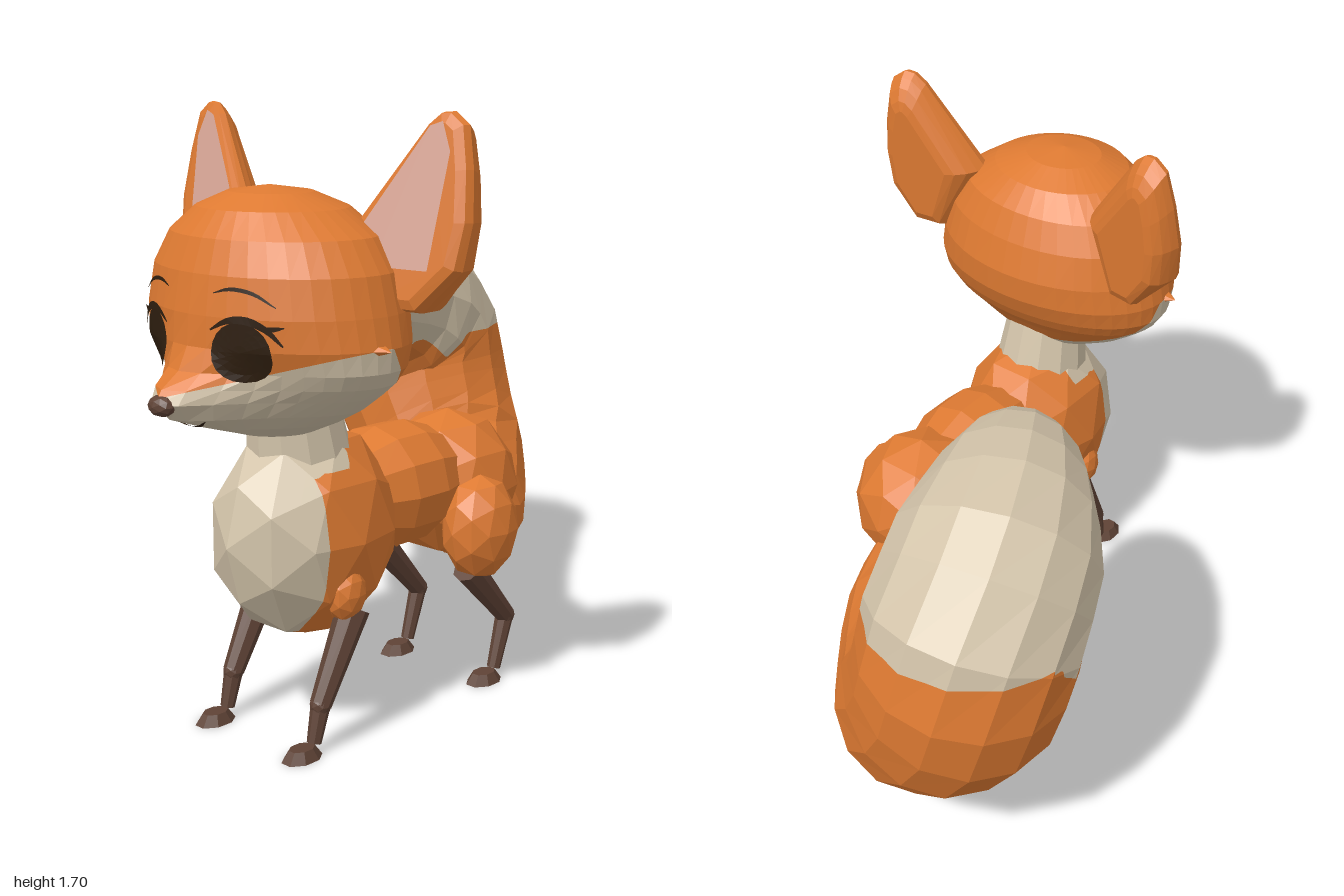
import * as THREE from 'three';

const mat = (name, color, extra = {}) => new THREE.MeshStandardMaterial({ name, color, flatShading: true, ...extra });
const orange = mat('orange fur', 0xde7a32);
const cream = mat('cream fur', 0xd3c4aa);
const pink = mat('pink inner ear', 0xdba898, { side: THREE.DoubleSide });
const brown = mat('brown leg', 0x5f4336);
const dark = mat('dark eye', 0x2e1e0f, { side: THREE.DoubleSide });

const CX = 0.215; // the body's midline
const V = (x, y, z) => new THREE.Vector3(x, y, z);

function add(parent, name, geo, material) {
  const mesh = new THREE.Mesh(geo, material);
  mesh.name = name;
  parent.add(mesh);
  return mesh;
}

// Surface through a grid of points
function grid(rows, cols, point) {
  const pos = [];
  for (let i = 0; i < rows; i++) for (let j = 0; j < cols; j++) {
    const a = point(i, j), b = point(i + 1, j), c = point(i + 1, j + 1), d = point(i, j + 1);
    for (const p of [a, b, d, b, c, d]) pos.push(p.x, p.y, p.z);
  }
  return toGeometry(pos);
}

function toGeometry(pos) {
  const g = new THREE.BufferGeometry();
  g.setAttribute('position', new THREE.Float32BufferAttribute(pos, 3));
  g.computeVertexNormals();
  return g;
}

// Cuts triangles along f = 0: group 0 is where f < 0, group 1 where f > 0
function splitColours(geo, f) {
  const src = (geo.index ? geo.toNonIndexed() : geo).attributes.position;
  const sides = [[], []];
  const clip = (tri, sign, out) => {
    const poly = [];
    tri.forEach((p, k) => {
      const q = tri[(k + 1) % 3], fp = f(p) * sign, fq = f(q) * sign;
      if (fp >= 0) poly.push(p);
      if (fp * fq < 0) poly.push(p.clone().lerp(q, fp / (fp - fq)));
    });
    for (let k = 1; k + 1 < poly.length; k++)
      for (const p of [poly[0], poly[k], poly[k + 1]]) out.push(p.x, p.y, p.z);
  };
  const visit = (tri, depth) => {
    const n = tri.filter((p) => f(p) > 0).length;
    if (n === 0 || n === 3) {
      tri.forEach((p) => sides[n ? 1 : 0].push(p.x, p.y, p.z));
    } else if (depth) {
      const [a, b, c] = tri;
      const ab = a.clone().lerp(b, 0.5), bc = b.clone().lerp(c, 0.5), ca = c.clone().lerp(a, 0.5);
      [[a, ab, ca], [ab, b, bc], [ca, bc, c], [ab, bc, ca]].forEach((t) => visit(t, depth - 1));
    } else {
      clip(tri, -1, sides[0]);
      clip(tri, 1, sides[1]);
    }
  };
  for (let i = 0; i < src.count; i += 3)
    visit([0, 1, 2].map((k) => V(0, 0, 0).fromBufferAttribute(src, i + k)), 2);
  const g = toGeometry([...sides[0], ...sides[1]]);
  g.addGroup(0, sides[0].length / 3, 0);
  g.addGroup(sides[0].length / 3, sides[1].length / 3, 1);
  return g;
}

const ball = (x, y, z, rx, ry, rz, detail = 1) =>
  new THREE.IcosahedronGeometry(1, detail).scale(rx, ry, rz).translate(x, y, z);

// Tapered limb from a to b
function limb(parent, name, a, b, ra, rb, sides, material) {
  const m = add(parent, name, new THREE.CylinderGeometry(rb, ra, a.distanceTo(b), sides), material);
  m.position.copy(a).lerp(b, 0.5);
  m.quaternion.setFromUnitVectors(V(0, 1, 0), b.clone().sub(a).normalize());
}

// Head rings: height, half width, centre z, back depth, front depth, muzzle length
const HEAD = [
  [1.503, 0, 0.6, 0, 0, 0], [1.487, 0.12, 0.6, 0.11, 0.1, 0], [1.45, 0.215, 0.58, 0.17, 0.2, 0],
  [1.385, 0.31, 0.57, 0.215, 0.26, 0], [1.3, 0.365, 0.57, 0.25, 0.29, 0], [1.2, 0.39, 0.57, 0.275, 0.3, 0.008],
  [1.12, 0.405, 0.57, 0.27, 0.29, 0.025], [1.06, 0.4, 0.57, 0.245, 0.255, 0.09], [1.02, 0.375, 0.57, 0.22, 0.235, 0.165],
  [0.985, 0.335, 0.57, 0.19, 0.215, 0.205], [0.94, 0.275, 0.57, 0.155, 0.19, 0.185], [0.9, 0.2, 0.57, 0.125, 0.16, 0.1],
  [0.86, 0.11, 0.58, 0.08, 0.1, 0.02], [0.84, 0, 0.59, 0, 0, 0],
];
const muzzle = (m, x) => m * Math.exp(-((x / 0.145) ** 2));

// Front of the face at offset dx from the midline
function faceZ(dx, y) {
  const i = Math.max(1, HEAD.findIndex((r) => r[0] <= y));
  const t = (HEAD[i - 1][0] - y) / (HEAD[i - 1][0] - HEAD[i][0]);
  const [, hw, zc, , fr, m] = HEAD[i].map((v, k) => THREE.MathUtils.lerp(HEAD[i - 1][k], v, t));
  return zc + Math.sqrt(Math.max(0, 1 - (dx / hw) ** 2)) * (fr + muzzle(m, dx));
}

// Thin painted stroke on the face; points are [dx, y]
function stroke(parent, name, pts, width) {
  const curve = new THREE.CatmullRomCurve3(pts.map(([x, y]) => V(x, y, 0)));
  const n = 12;
  add(parent, name, grid(n, 1, (i, j) => {
    const p = curve.getPoint(i / n), t = curve.getTangent(i / n);
    const w = width * (0.25 + Math.sin(Math.PI * i / n)) * (j - 0.5);
    const x = p.x - t.y * w, y = p.y + t.x * w;
    return V(CX + x, y, faceZ(x, y) + 0.01);
  }), dark);
}

function buildHead() {
  const head = new THREE.Group();
  head.name = 'head';
  const N = 40;
  const skull = grid(HEAD.length - 1, N, (i, j) => {
    const [y, hw, zc, back, front, m] = HEAD[i], a = (j / N) * Math.PI * 2;
    const x = hw * Math.sin(a), c = Math.cos(a);
    return V(CX + x, y, zc + c * (c > 0 ? front + muzzle(m, x) : back));
  });
  add(head, 'skull', splitColours(skull, (p) =>
    Math.min(1.0 + 0.3 * Math.abs(p.x - CX) - p.y, p.z - 0.44 - (p.y - 0.92) * 0.6)), [orange, cream]);
  add(head, 'nose', ball(CX, 0.98, 0.97, 0.042, 0.028, 0.03), brown);
  stroke(head, 'smile', [[-0.075, 0.938], [-0.04, 0.92], [0, 0.914], [0.04, 0.92], [0.075, 0.938]], 0.005);

  for (const s of [-1, 1]) {
    // Eye, lashes and brow
    const eye = new THREE.RingGeometry(0, 1, 20, 4).scale(0.074, 0.076, 1);
    const p = eye.attributes.position;
    for (let i = 0; i < p.count; i++) {
      const x = p.getX(i) + s * 0.16, y = p.getY(i) + 1.117;
      p.setXYZ(i, CX + x, y, faceZ(x, y) + 0.009);
    }
    add(head, 'eye', eye, dark);
    const side = (pts) => pts.map(([x, y]) => [s * x, y]);
    stroke(head, 'lash', side([[0.083, 1.17], [0.13, 1.195], [0.18, 1.198], [0.225, 1.178], [0.262, 1.138]]), 0.016);
    stroke(head, 'lashTip', side([[0.2, 1.185], [0.235, 1.18], [0.265, 1.185]]), 0.01);
    stroke(head, 'brow', side([[0.085, 1.26], [0.13, 1.272], [0.19, 1.264], [0.245, 1.232]]), 0.008);

    // Cheek tuft
    const tuft = new THREE.ConeGeometry(0.045, 0.12, 6).scale(1, 1, 2).rotateZ(-s * Math.PI / 2);
    add(head, 'cheekTuft', tuft.translate(CX + s * 0.372, 1.12, 0.6), orange);

    // Ear: bevelled slab leaning back, rounded behind and thinner at the tip, with a pink plate in front
    const outline = (pts) => new THREE.Shape(pts.map(([x, y]) => new THREE.Vector2(s * x, y)));
    const lean = (g, dz) => {
      const q = g.attributes.position;
      for (let i = 0; i < q.count; i++) {
        const depth = -(q.getZ(i) + dz), inset = 1 - 0.3 * (depth / 0.135) ** 2;
        const x = s * (0.4 + (s * q.getX(i) - 0.4) * inset), y = 1.4 + (q.getY(i) - 1.4) * (q.getY(i) > 1.4 ? inset : 1);
        const thick = 1.15 - 0.9 * (y - 1.2);
        q.setXYZ(i, CX + x, y, 0.53 - depth * thick - 0.19 * (y - 1.25) - 0.15 * (Math.abs(x) - 0.3));
      }
      g.computeVertexNormals();
      return g;
    };
    const ear = new THREE.ExtrudeGeometry(outline([[0.2, 1.41], [0.385, 1.67], [0.42, 1.7], [0.455, 1.703], [0.5, 1.67],
      [0.525, 1.56], [0.54, 1.43], [0.525, 1.31], [0.42, 1.2], [0.3, 1.2]]),
    { depth: 0.06, steps: 2, bevelThickness: 0.035, bevelSize: 0.035, bevelOffset: -0.035, bevelSegments: 2 });
    add(head, 'ear', lean(ear, -0.1), orange);
    add(head, 'innerEar', lean(new THREE.ShapeGeometry(outline([[0.235, 1.4], [0.405, 1.66], [0.44, 1.672], [0.472, 1.6],
      [0.45, 1.31], [0.29, 1.31]])), 0), pink);
  }
  return head;
}

function buildTail() {
  // x, y, z and radius along the tail
  const path = [[0.2, 0.46, -0.2, 0.09], [0.1, 0.4, -0.36, 0.15], [-0.08, 0.39, -0.53, 0.205], [-0.27, 0.46, -0.65, 0.275],
    [-0.415, 0.66, -0.69, 0.3], [-0.455, 0.87, -0.67, 0.3], [-0.42, 1.0, -0.53, 0.285], [-0.325, 1.055, -0.34, 0.215],
    [-0.245, 1.05, -0.2, 0.14], [-0.23, 1.045, -0.165, 0.09], [-0.225, 1.04, -0.15, 0]];
  const curve = new THREE.CatmullRomCurve3(path.map(([x, y, z]) => V(x, y, z)));
  const rows = 20, cols = 14, last = path.length - 1;
  const rings = [];
  for (let i = 0; i <= rows; i++) {
    const u = (i / rows) * last, k = Math.min(Math.floor(u), last - 1), t = u / last;
    rings.push({ p: curve.getPoint(t), t: curve.getTangent(t), r: THREE.MathUtils.lerp(path[k][3], path[k + 1][3], u - k) });
  }
  // Carry the cross-section along without twist
  let n = V(0, 1, 0);
  for (const ring of rings) {
    n = n.clone().addScaledVector(ring.t, -n.dot(ring.t)).normalize();
    ring.n = n;
    ring.b = ring.t.clone().cross(n);
  }
  const tail = grid(rows, cols, (i, j) => {
    const { p, r, n: normal, b } = rings[i], a = ((j % cols) / cols) * Math.PI * 2;
    return p.clone().addScaledVector(normal, r * Math.cos(a)).addScaledVector(b, -r * Math.sin(a));
  });
  // Ragged edge of the pale tip
  const spike = (a, at, width) => Math.max(0, 1 - Math.abs(a - at) / width);
  return splitColours(tail, (p) => {
    const a = Math.atan2(p.z + 0.68, p.x + 0.42);
    const edge = 0.91 + 0.07 * spike(a, 2, 0.5) - 0.12 * spike(a, 2.9, 0.4) - 0.08 * spike(a, 0.5, 0.3);
    return p.y - edge + 0.8 * Math.max(0, p.z + 0.4);
  });
}

export function createModel() {
  const fox = new THREE.Group();
  fox.name = 'fox';

  // Body
  add(fox, 'chest', splitColours(ball(CX, 0.562, 0.484, 0.23, 0.305, 0.285), (p) =>
    Math.max(p.z - 0.59, Math.min(p.y - 0.755, p.z - 0.46))), [orange, cream]);
  limb(fox, 'neck', V(CX, 0.77, 0.505), V(CX, 0.93, 0.53), 0.145, 0.125, 12, cream);
  const barrel = [[0, -0.16], [0.145, -0.16], [0.178, -0.06], [0.178, 0.06], [0.145, 0.16], [0, 0.16]];
  add(fox, 'torso', new THREE.LatheGeometry(barrel.map(([r, h]) => new THREE.Vector2(r, h)), 12)
    .rotateX(Math.PI / 2).translate(CX, 0.62, 0.15), orange);
  add(fox, 'hips', ball(CX, 0.578, -0.1, 0.21, 0.222, 0.215), orange);
  add(fox, 'tail', buildTail(), [orange, cream]);
  fox.add(buildHead());

  // Legs
  for (const s of [-1, 1]) {
    const x = CX + s * 0.175;
    add(fox, 'thigh', ball(CX + s * 0.19, 0.49, -0.03, 0.105, 0.155, 0.122), orange);
    add(fox, 'shoulder', ball(x, 0.42, 0.505, 0.053, 0.078, 0.062), orange);
    const legs = [
      ['front', [0.37, 0.475], [0.13, 0.6], [0.03, 0.625], 0.67],
      ['hind', [0.37, 0.005], [0.185, -0.168], [0.03, -0.12], -0.075],
    ];
    for (const [name, top, knee, ankle, footZ] of legs) {
      const at = ([y, z]) => V(x, y, z);
      limb(fox, name + 'Leg', at(top), at(knee), 0.046, 0.03, 8, brown);
      add(fox, name + 'Joint', ball(x, knee[0], knee[1], 0.03, 0.03, 0.03), brown);
      limb(fox, name + 'Shin', at(knee), at(ankle), 0.027, 0.02, 8, brown);
      const foot = new THREE.CylinderGeometry(0.028, 0.044, 0.03, 8).rotateY(Math.PI / 8).scale(1, 1, 1.45);
      add(fox, name + 'Foot', foot.translate(x, 0.015, footZ), brown);
    }
  }
  return fox;
}
